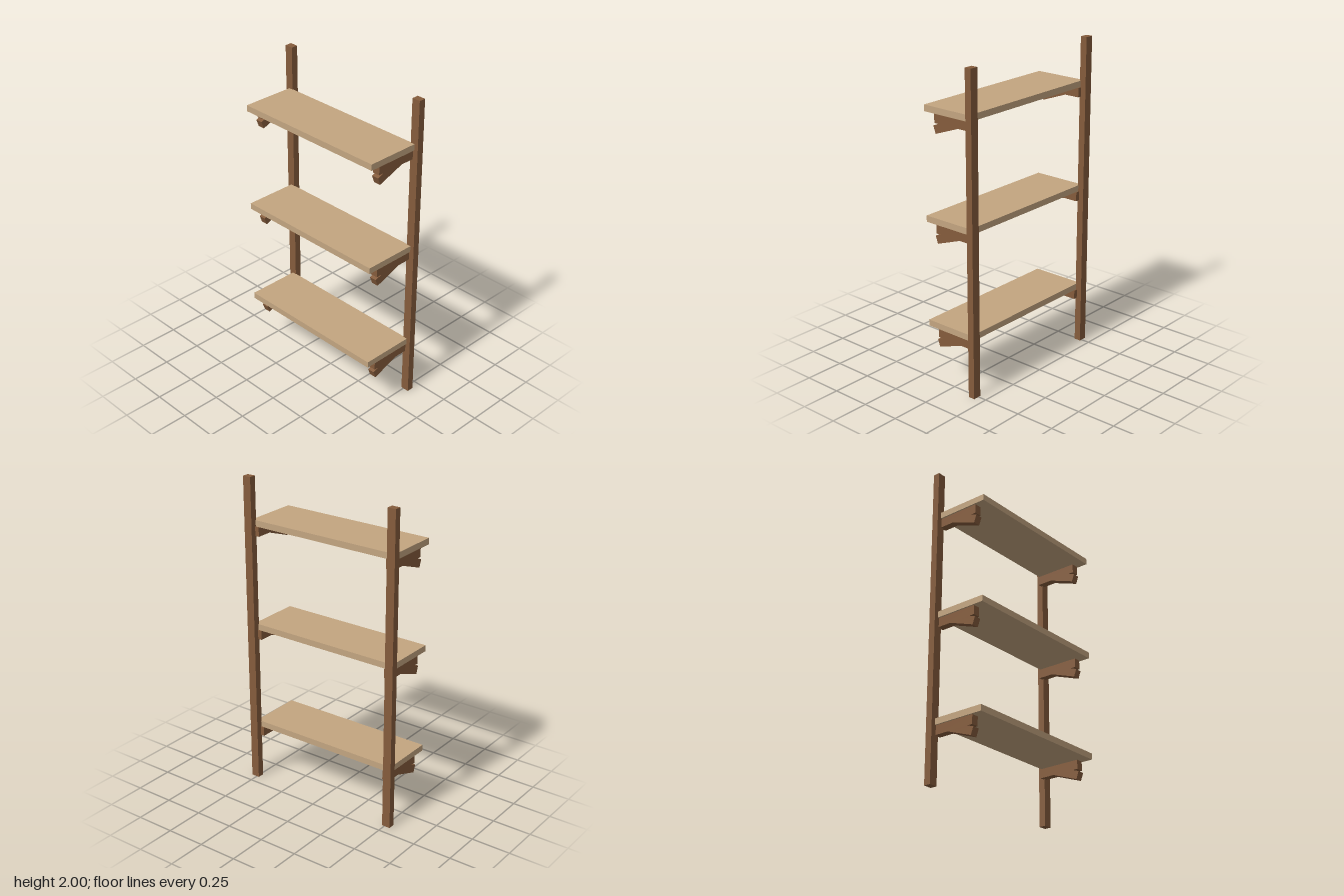
import * as THREE from 'three';

export function createModel() {
  const model = new THREE.Group();
  model.name = 'wallShelf';

  const paleWood = new THREE.MeshStandardMaterial({ color: 0xc3a580 });
  paleWood.name = 'paleWood';
  const darkWood = new THREE.MeshStandardMaterial({ color: 0x855c3c });
  darkWood.name = 'darkWood';

  const addBox = (parent, name, material, size, position) => {
    const mesh = new THREE.Mesh(new THREE.BoxGeometry(...size), material);
    mesh.name = name;
    mesh.position.set(...position);
    parent.add(mesh);
    return mesh;
  };

  // Upright posts at the back
  for (const side of [-1, 1]) {
    addBox(model, side > 0 ? 'leftPost' : 'rightPost', darkWood,
      [0.054, 2, 0.043], [side * 0.511, 1, -0.1715]);
  }

  // Three shelf boards, each carried by a pair of brackets
  for (let i = 0; i < 3; i++) {
    const shelf = new THREE.Group();
    shelf.name = 'shelf' + (i + 1);
    shelf.position.y = 0.353 + i * 0.668; // underside of the board
    model.add(shelf);
    addBox(shelf, 'board', paleWood, [1.024, 0.039, 0.344], [0, 0.0195, 0.018]);

    for (const side of [-1, 1]) {
      const bracket = new THREE.Group();
      bracket.name = side > 0 ? 'leftBracket' : 'rightBracket';
      bracket.position.x = side * 0.48;
      shelf.add(bracket);
      // Horizontal arm under the board, and a strut sloping down to the front
      addBox(bracket, 'arm', darkWood, [0.046, 0.058, 0.28], [0, -0.029, -0.02]);
      const strut = addBox(bracket, 'strut', darkWood, [0.046, 0.05, 0.2], [0, -0.063, 0.026]);
      strut.rotation.x = 0.35;
    }
  }

  return model;
}
